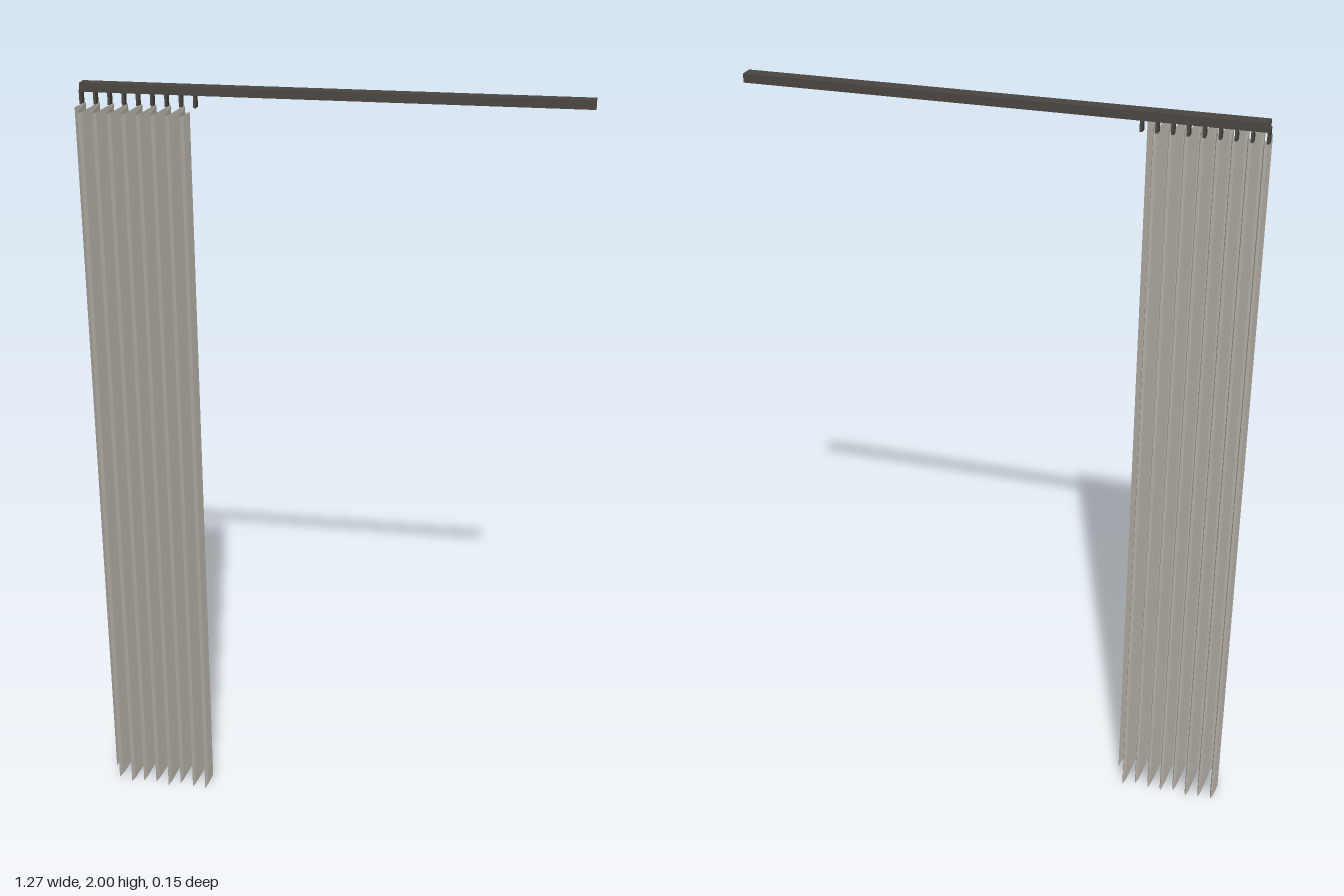
import * as THREE from 'three';

const fabric = new THREE.MeshStandardMaterial({ color: 0xd0cbc0, side: THREE.DoubleSide, flatShading: true });
const metal = new THREE.MeshStandardMaterial({ color: 0x4a4540 });

const LEFT = -0.634, WIDTH = 0.291, FOLDS = 8; // gathered curtain span
const RAIL_Z = -0.056;

// Pleated sheet: a plane whose columns follow a sharp wave
function makeCurtain() {
  const top = 1.95, columns = FOLDS * 8;
  const geo = new THREE.PlaneGeometry(1, 1, columns, 1);
  const pos = geo.attributes.position;
  for (let i = 0; i < pos.count; i++) {
    const t = pos.getX(i) + 0.5;
    const hem = 0.006 + 0.006 * Math.sin(t * Math.PI * 6);
    const z = 0.01 - 0.063 * Math.sin(t * FOLDS * Math.PI * 2);
    pos.setXYZ(i, LEFT + t * WIDTH, pos.getY(i) > 0 ? top : hem, z);
  }
  geo.computeVertexNormals();
  const mesh = new THREE.Mesh(geo, fabric);
  mesh.name = 'curtain';
  return mesh;
}

// Channel rail, open along the underside
function makeRail() {
  const w = 0.0175, h = 0.022, wall = 0.004, slot = 0.006;
  const profile = new THREE.Shape([
    [-w, 0], [-slot, 0], [-slot, wall], [-w + wall, wall], [-w + wall, h - wall],
    [w - wall, h - wall], [w - wall, wall], [slot, wall], [slot, 0], [w, 0], [w, h], [-w, h],
  ].map(([x, y]) => new THREE.Vector2(x, y)));
  const length = 1.27;
  const geo = new THREE.ExtrudeGeometry(profile, { depth: length, bevelEnabled: false });
  geo.translate(0, 0, -length / 2).rotateY(Math.PI / 2);
  const mesh = new THREE.Mesh(geo, metal);
  mesh.name = 'rail';
  mesh.position.set(0, 1.978, RAIL_Z);
  return mesh;
}

// Gliders hanging from the rail, one per fold
function makeCarriers() {
  const group = new THREE.Group();
  group.name = 'carriers';
  const geo = new THREE.BoxGeometry(0.007, 0.036, 0.02);
  for (let i = 0; i <= FOLDS; i++) {
    const carrier = new THREE.Mesh(geo, metal);
    carrier.name = 'carrier';
    carrier.position.set(LEFT + (i / FOLDS) * WIDTH, 1.965, RAIL_Z + 0.005);
    group.add(carrier);
  }
  return group;
}

export function createModel() {
  const model = new THREE.Group();
  model.name = 'curtainOnRail';
  model.add(makeCurtain(), makeRail(), makeCarriers());
  return model;
}
